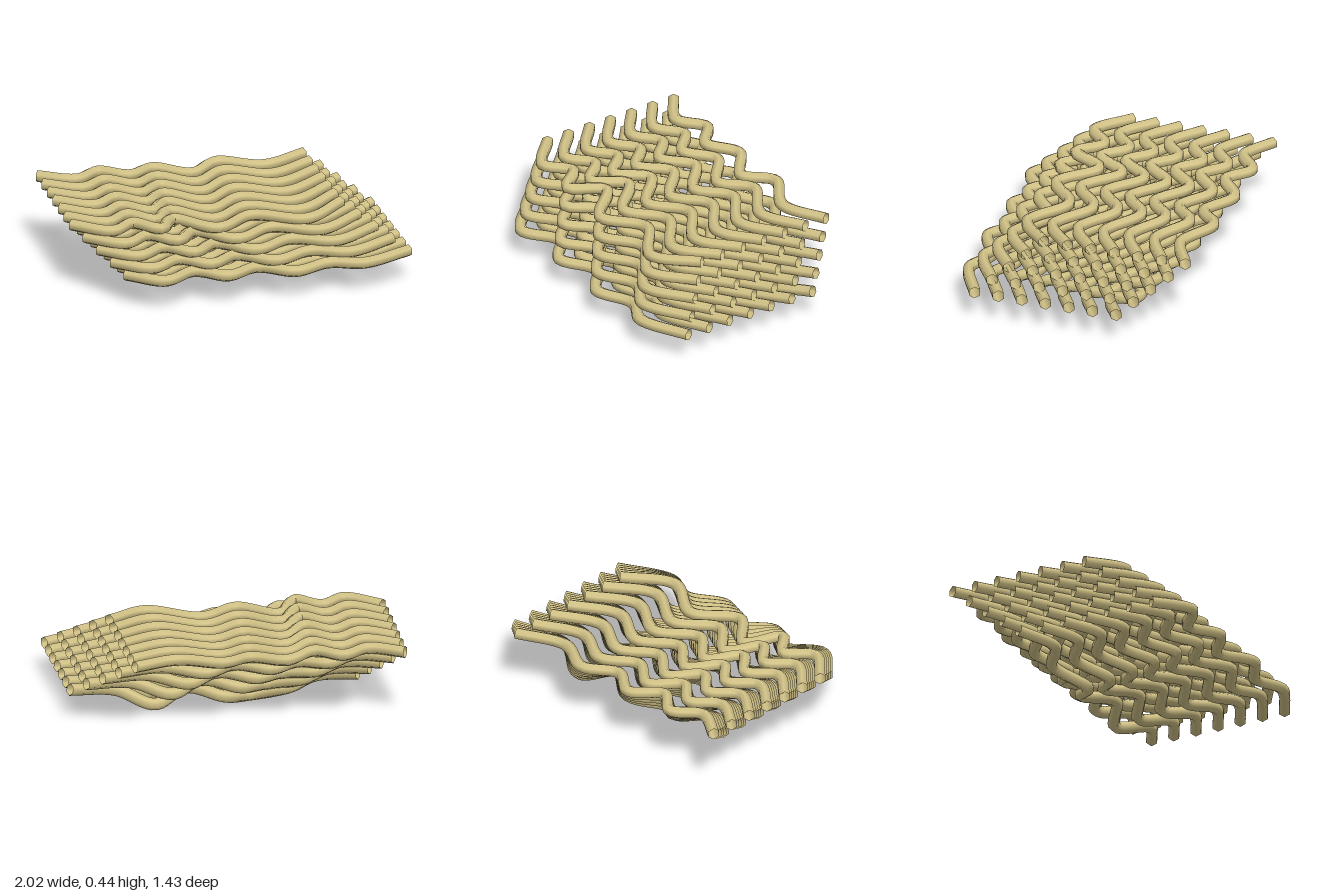
import * as THREE from 'three';

// Corner strands of the bundle: x along the strand, z swing away from its ends, downward sag.
const backTop = {
  x: [-0.97, -0.77, -0.6, -0.44, -0.26, -0.06, 0.13, 0.38, 0.66],
  z: [0, 0.115, 0.01, 0.12, 0.005, 0.125, 0.005, 0.12, 0],
  sag: [0, 0, 0, 0, 0.01, 0.02, 0.005, 0.01, 0],
};
const frontTop = {
  x: [-0.99, -0.79, -0.63, -0.49, -0.36, -0.14, 0.11, 0.4, 0.66],
  z: [0, 0.17, 0.06, 0.19, 0, 0.19, 0.03, 0.19, 0],
  sag: [0, 0, 0, 0.005, 0.02, 0.03, 0.025, 0.02, 0],
};
const backBottom = {
  x: [-0.74, -0.52, -0.33, -0.12, 0.06, 0.27, 0.48, 0.7, 0.995],
  z: [0, 0.13, 0.02, 0.14, 0.01, 0.13, 0.02, 0.13, 0],
  sag: [0, 0.04, 0.07, 0.143, 0.1, 0.07, 0.128, 0.06, 0],
};
const frontBottom = {
  x: [-0.74, -0.54, -0.33, -0.15, 0.06, 0.26, 0.49, 0.7, 0.995],
  z: [0, 0.165, 0.04, 0.155, 0.035, 0.165, 0.065, 0.135, 0],
  sag: [0, 0, 0, 0.005, 0.01, 0.01, 0.01, 0.005, 0],
};

const ROWS = 7, LAYERS = 5, RADIUS = 0.037;
const { lerp } = THREE.MathUtils;

// Curve of one strand, blended between the four corners (u: back to front, v: top to bottom)
function strandCurve(u, v) {
  const blend = (key, i) => lerp(
    lerp(backTop[key][i], frontTop[key][i], u),
    lerp(backBottom[key][i], frontBottom[key][i], u), v);
  const endZ = lerp(-0.685, -0.365, v) + u * 0.885;
  const endY = lerp(0.407, 0.18, v);
  const points = backTop.x.map((_, i) => new THREE.Vector3(
    blend('x', i), endY - blend('sag', i), endZ + blend('z', i)));
  return new THREE.CatmullRomCurve3(points, false, 'catmullrom', 0.5);
}

export function createModel() {
  const model = new THREE.Group();
  model.name = 'wavyStrandBundle';
  const material = new THREE.MeshStandardMaterial({ color: 0xd6c68a, side: THREE.DoubleSide });

  // Stacked layers of parallel, hollow six-sided strands
  for (let layer = 0; layer < LAYERS; layer++) {
    const group = new THREE.Group();
    group.name = `strandLayer${layer + 1}`;
    for (let row = 0; row < ROWS; row++) {
      const curve = strandCurve(row / (ROWS - 1), layer / (LAYERS - 1));
      const strand = new THREE.Mesh(new THREE.TubeGeometry(curve, 72, RADIUS, 6, false), material);
      strand.name = `strand${row + 1}`;
      group.add(strand);
    }
    model.add(group);
  }
  return model;
}
